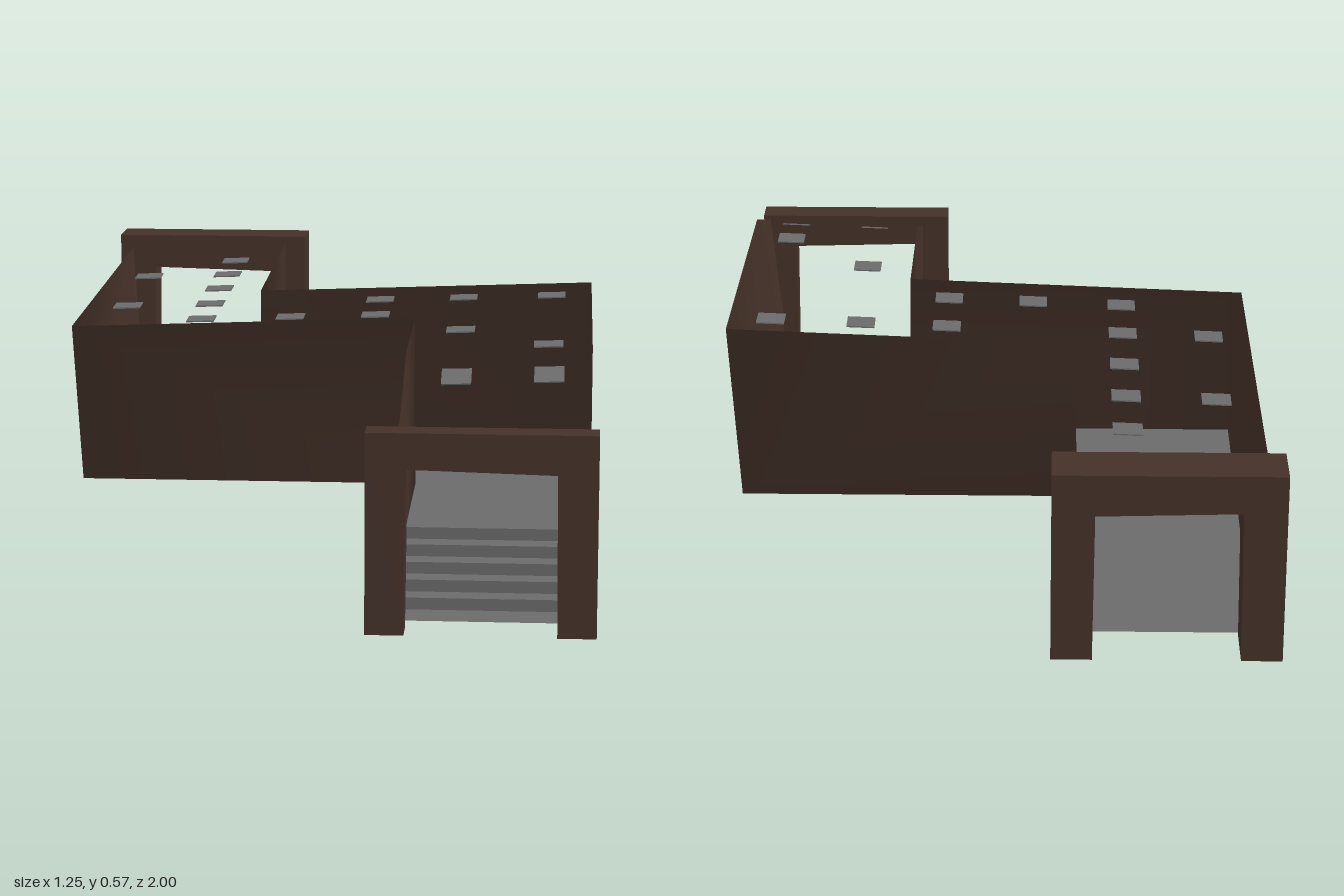
import * as THREE from 'three';

export function createModel() {
  const model = new THREE.Group();
  const brown = new THREE.MeshStandardMaterial({ color: 0x453229, side: THREE.DoubleSide });
  brown.name = 'dark brown';
  const grey = new THREE.MeshStandardMaterial({ color: 0x6b6b6b, side: THREE.DoubleSide });
  grey.name = 'stone grey';

  const add = (name, geometry, material) => {
    const mesh = new THREE.Mesh(geometry, material);
    mesh.name = name;
    model.add(mesh);
    return mesh;
  };

  // Sheet stretched between two matching rows of points
  const sheet = (rowA, rowB, flat = false) => {
    const points = [...rowA, ...rowB].map((p) => new THREE.Vector3(...p));
    const geo = new THREE.BufferGeometry().setFromPoints(points);
    const n = rowA.length, index = [];
    for (let i = 0; i < n - 1; i++) {
      index.push(i, i + n, i + 1, i + 1, i + n, i + n + 1);
    }
    geo.setIndex(index);
    const result = flat ? geo.toNonIndexed() : geo;
    result.computeVertexNormals();
    return result;
  };

  const FLOOR = 0.147, LOW = 0.017, FRONT = 0.93, STAIR = 0.595, BACK = -0.88;
  // Wall tops follow a gently tilted plane that drops over the stairs
  const ceiling = (x, z) => {
    const y = 0.536 + 0.037 * x - 0.027 * Math.min(z, STAIR);
    return z > STAIR ? y - (z - STAIR) * 0.36 : y;
  };

  // Zigzag walls; each entry is [top x, bottom x, z]
  const walls = {
    leftWall: [[0.61, 0.583, FRONT], [0.613, 0.587, STAIR], [0.615, 0.589, -0.195],
      [-0.188, -0.19, -0.195], [-0.188, -0.19, BACK]],
    rightWall: [[0.207, 0.21, FRONT], [0.207, 0.21, STAIR], [0.207, 0.21, 0.198],
      [-0.592, -0.57, 0.198], [-0.594, -0.57, BACK]],
  };
  for (const [name, path] of Object.entries(walls)) {
    const top = path.map(([x, , z]) => [x, ceiling(x, z), z]);
    const bottom = path.map(([, x, z]) => [x, FLOOR, z]);
    add(name, sheet(top, bottom), brown);
    // Lower wall beside the stairs
    const [front, corner] = path;
    add(name + 'Skirt', sheet(
      [[front[1], FLOOR, FRONT], [corner[1], FLOOR, STAIR]],
      [[front[1], LOW, FRONT], [corner[1], LOW, STAIR]]), brown);
  }

  // Zigzag floor
  const plan = new THREE.Shape([
    [0.21, -STAIR], [0.587, -STAIR], [0.589, 0.195], [-0.19, 0.195],
    [-0.19, -BACK], [-0.57, -BACK], [-0.57, -0.198], [0.21, -0.198],
  ].map((p) => new THREE.Vector2(...p)));
  add('floor', new THREE.ShapeGeometry(plan).rotateX(-Math.PI / 2).translate(0, FLOOR, 0), grey);

  // Stairs going down to the front portal
  const steps = 5, rise = 0.026, run = 0.053;
  const profile = [[FLOOR, STAIR]];
  for (let i = 0; i < steps; i++) {
    const z = 0.637 + i * run;
    profile.push([FLOOR - i * rise, z], [FLOOR - (i + 1) * rise, z]);
  }
  profile.push([FLOOR - steps * rise, FRONT]);
  const across = (x) => profile.map(([y, z]) => [x, y, z]);
  add('stairs', sheet(across(0.21), across(0.585), true), grey);
  // Back and underside of the stairs
  const under = [[FLOOR, STAIR], [LOW - 0.003, STAIR], [LOW - 0.003, FRONT]];
  add('stairUnderside', sheet(
    under.map(([y, z]) => [0.585, y, z]),
    under.map(([y, z]) => [0.21, y, z])), grey);

  // Door frame: an upside-down U with a tapered opening
  const portal = (name, x0, x1, y0, y1, z0, z1, leg, lintel) => {
    const shape = new THREE.Shape([
      [x0, y0], [x0 + leg, y0], [x0 + leg + 0.004, y1 - lintel],
      [x1 - leg - 0.003, y1 - lintel - 0.008], [x1 - leg, y0], [x1, y0], [x1, y1], [x0, y1],
    ].map((p) => new THREE.Vector2(...p)));
    const geo = new THREE.ExtrudeGeometry(shape, { depth: z1 - z0, bevelEnabled: false });
    add(name, geo.translate(0, 0, z0), brown);
  };
  portal('frontPortal', 0.142, 0.627, 0, 0.432, FRONT, 1, 0.082, 0.077);
  portal('backPortal', -0.627, -0.136, 0.142, 0.57, -1, BACK, 0.088, 0.085);

  // Small square plates hovering level with the wall tops
  const spots = [
    [-0.3, -0.68], [-0.5, -0.485], [-0.3, -0.485], [-0.3, -0.29], [-0.5, -0.09], [-0.3, -0.09],
    [0.11, -0.09], [0.31, -0.09], [0.52, -0.09], [-0.3, 0.1], [-0.09, 0.1], [0.11, 0.1],
    [0.316, 0.303], [0.517, 0.49], [0.32, 0.68], [0.52, 0.68],
  ];
  const plate = new THREE.BoxGeometry(0.065, 0.003, 0.065);
  for (const [x, z] of spots) {
    const mesh = add('ceilingPlate', plate, grey);
    mesh.position.set(x, ceiling(x, z) - 0.009, z);
    mesh.rotation.set(z > STAIR ? 0.35 : 0.027, 0, 0.037);
  }
  return model;
}
